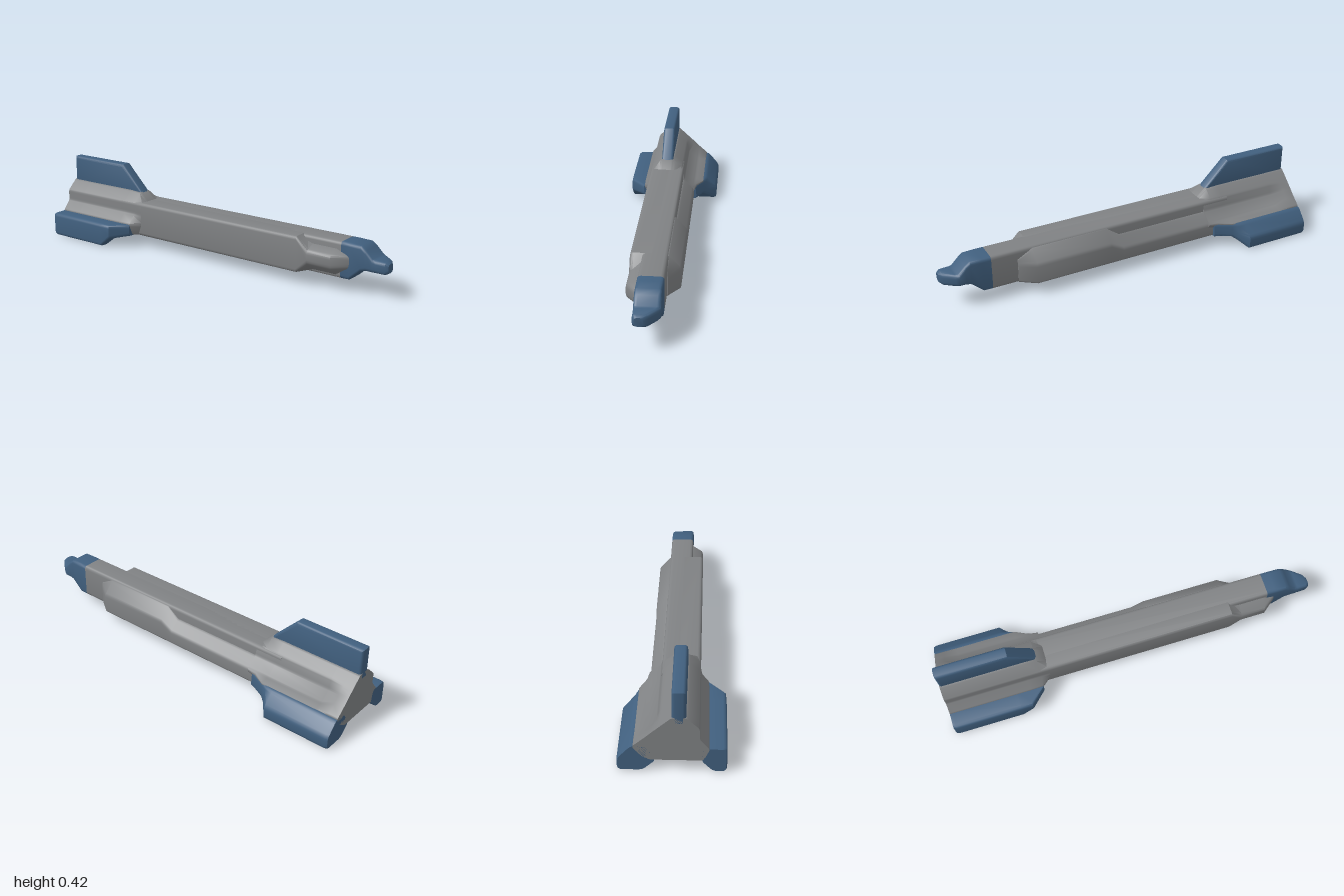
import * as THREE from 'three';
import { toCreasedNormals } from 'three/addons/utils/BufferGeometryUtils.js';

const grey = new THREE.MeshStandardMaterial({ color: 0x808284 });
grey.name = 'hull grey';
const blue = new THREE.MeshStandardMaterial({ color: 0x41607f });
blue.name = 'fin blue';

// Rounds every corner of a closed polygon with a short curve
function roundPolygon(pts, r) {
  const v = pts.map(([x, y]) => new THREE.Vector2(x, y));
  const out = [];
  v.forEach((p, i) => {
    const toward = (q) => {
      const d = q.clone().sub(p);
      const len = d.length();
      return p.clone().addScaledVector(d, Math.min(r, len * 0.45) / len);
    };
    const a = toward(v[(i + v.length - 1) % v.length]);
    const b = toward(v[(i + 1) % v.length]);
    out.push(...new THREE.QuadraticBezierCurve(a, p, b).getPoints(3));
  });
  return out;
}

// Skins [z, polygon] sections, back to front, polygons counter-clockwise from the front
function loft(name, material, sections, r = 0.018) {
  const rings = sections.map(([z, pts]) => ({ z, pts: roundPolygon(pts, r) }));
  const n = rings[0].pts.length;
  const pos = [];
  const put = (ring, i) => pos.push(ring.pts[i].x, ring.pts[i].y, ring.z);
  for (let s = 0; s < rings.length - 1; s++) {
    const a = rings[s], b = rings[s + 1];
    for (let i = 0; i < n; i++) {
      const j = (i + 1) % n;
      put(a, i); put(a, j); put(b, j);
      put(a, i); put(b, j); put(b, i);
    }
  }
  const back = rings[0], front = rings[rings.length - 1];
  for (const [i, j, k] of THREE.ShapeUtils.triangulateShape(back.pts, [])) {
    put(back, i); put(back, k); put(back, j);
  }
  for (const [i, j, k] of THREE.ShapeUtils.triangulateShape(front.pts, [])) {
    put(front, i); put(front, j); put(front, k);
  }
  const geo = new THREE.BufferGeometry();
  geo.setAttribute('position', new THREE.Float32BufferAttribute(pos, 3));
  const mesh = new THREE.Mesh(toCreasedNormals(geo, 0.7), material);
  mesh.name = name;
  return mesh;
}

const rect = (x0, x1, y0, y1) => [[x0, y0], [x1, y0], [x1, y1], [x0, y1]];

// Section of the strip along the left of the body
const leftFull = rect(-0.122, 0, 0.063, 0.246);
const leftStep = [[-0.12, 0.12], [-0.045, 0.066], [-0.045, 0.215], [-0.12, 0.183]];

// Section of the strip along the right: outer top height t, inner top height s
const rightStrip = (x, t, s) => [[0.02, 0.063], [x, 0.063], [x, t], [0.062, s], [0.02, s]];

// Tail section; grooved has a shelf cut in the right shoulder
function tail(grooved, left, right, top) {
  return [
    [-0.14 * (left / 0.168), 0.063], [0.1, 0.063], [right - 0.03, 0.09], [right, 0.135],
    grooved ? [0.12, 0.148] : [0.12, 0.183],
    grooved ? [0.068, 0.19] : [0.09, 0.212],
    [0.057, 0.242], [0, top], [-0.063, top],
    [-0.122, 0.238], [-0.122, 0.18], [-left, 0.125],
  ];
}

// Fin sections: outer reach x, lowest point y
const leftFin = (x, y) => [[-x, y], [-x + 0.3 * (x - 0.05), y], [-0.13, 0.062], [-0.14, 0.126], [-x, 0.126]];
const rightFin = (x, y) => [
  [0.07, 0.062], [0.13, y], [x, y], [x, Math.max(y + 0.03, 0.068)],
  [Math.min(0.18, x - 0.005), 0.136], [0.115, 0.132],
];

export function createModel() {
  const model = new THREE.Group();
  model.name = 'rocket';

  // Body
  model.add(loft('bodyCore', grey, [
    [-0.6, rect(-0.063, 0.061, 0.063, 0.246)],
    [0.755, rect(-0.063, 0.061, 0.063, 0.246)],
  ]));
  model.add(loft('leftBodyStrip', grey, [
    [-0.6, leftFull], [0.54, leftFull], [0.6, leftStep], [0.73, leftStep],
    [0.8, [[-0.064, 0.125], [-0.045, 0.11], [-0.045, 0.19], [-0.064, 0.18]]],
  ]));
  model.add(loft('rightBodyStrip', grey, [
    [-0.6, rightStrip(0.121, 0.135, 0.19)],
    [0.06, rightStrip(0.121, 0.135, 0.19)],
    [0.13, rightStrip(0.121, 0.172, 0.24)],
    [0.54, rightStrip(0.121, 0.172, 0.24)],
    [0.62, rightStrip(0.064, 0.16, 0.2)],
  ], 0.012));

  // Nose
  model.add(loft('nose', blue, [
    [0.755, rect(-0.064, 0.061, 0.063, 0.246)],
    [0.8, rect(-0.064, 0.061, 0.064, 0.246)],
    [0.86, rect(-0.064, 0.06, 0.118, 0.244)],
    [0.885, rect(-0.064, 0.06, 0.125, 0.225)],
    [0.92, rect(-0.064, 0.06, 0.125, 0.19)],
    [0.935, rect(-0.063, 0.052, 0.125, 0.187)],
    [0.985, rect(-0.062, 0.012, 0.125, 0.186)],
    [1, rect(-0.053, -0.008, 0.133, 0.178)],
  ]));

  // Tail web carrying the fins
  model.add(loft('tailWeb', grey, [
    [-1, tail(false, 0.168, 0.175, 0.294)],
    [-0.95, tail(false, 0.168, 0.175, 0.294)],
    [-0.88, tail(true, 0.168, 0.175, 0.294)],
    [-0.57, tail(true, 0.168, 0.175, 0.294)],
    [-0.5, tail(true, 0.165, 0.14, 0.29)],
    [-0.45, tail(true, 0.122, 0.13, 0.245)],
  ], 0.012));

  // Upper fin
  const side = new THREE.Shape([
    [-1, 0.265], [-0.475, 0.265], [-0.632, 0.425], [-1, 0.425],
  ].map(([z, y]) => new THREE.Vector2(z, y)));
  const finGeo = new THREE.ExtrudeGeometry(side, {
    depth: 0.035, bevelEnabled: true, bevelThickness: 0.014,
    bevelSize: 0.014, bevelOffset: -0.014, bevelSegments: 3,
  });
  finGeo.rotateY(-Math.PI / 2).translate(-0.014, 0, 0);
  const topFin = new THREE.Mesh(toCreasedNormals(finGeo, 0.7), blue);
  topFin.name = 'topFin';
  model.add(topFin);

  // Lower fins
  model.add(loft('leftFin', blue, [
    [-1, leftFin(0.24, 0.005)],
    [-0.985, leftFin(0.245, 0.001)],
    [-0.64, leftFin(0.245, 0.001)],
    [-0.58, leftFin(0.243, 0.05)],
    [-0.5, leftFin(0.168, 0.064)],
  ]));
  model.add(loft('rightFin', blue, [
    [-1, rightFin(0.24, 0.005)],
    [-0.985, rightFin(0.245, 0.001)],
    [-0.64, rightFin(0.245, 0.001)],
    [-0.6, rightFin(0.195, 0.035)],
    [-0.57, rightFin(0.175, 0.056)],
    [-0.48, rightFin(0.135, 0.064)],
  ]));

  return model;
}
